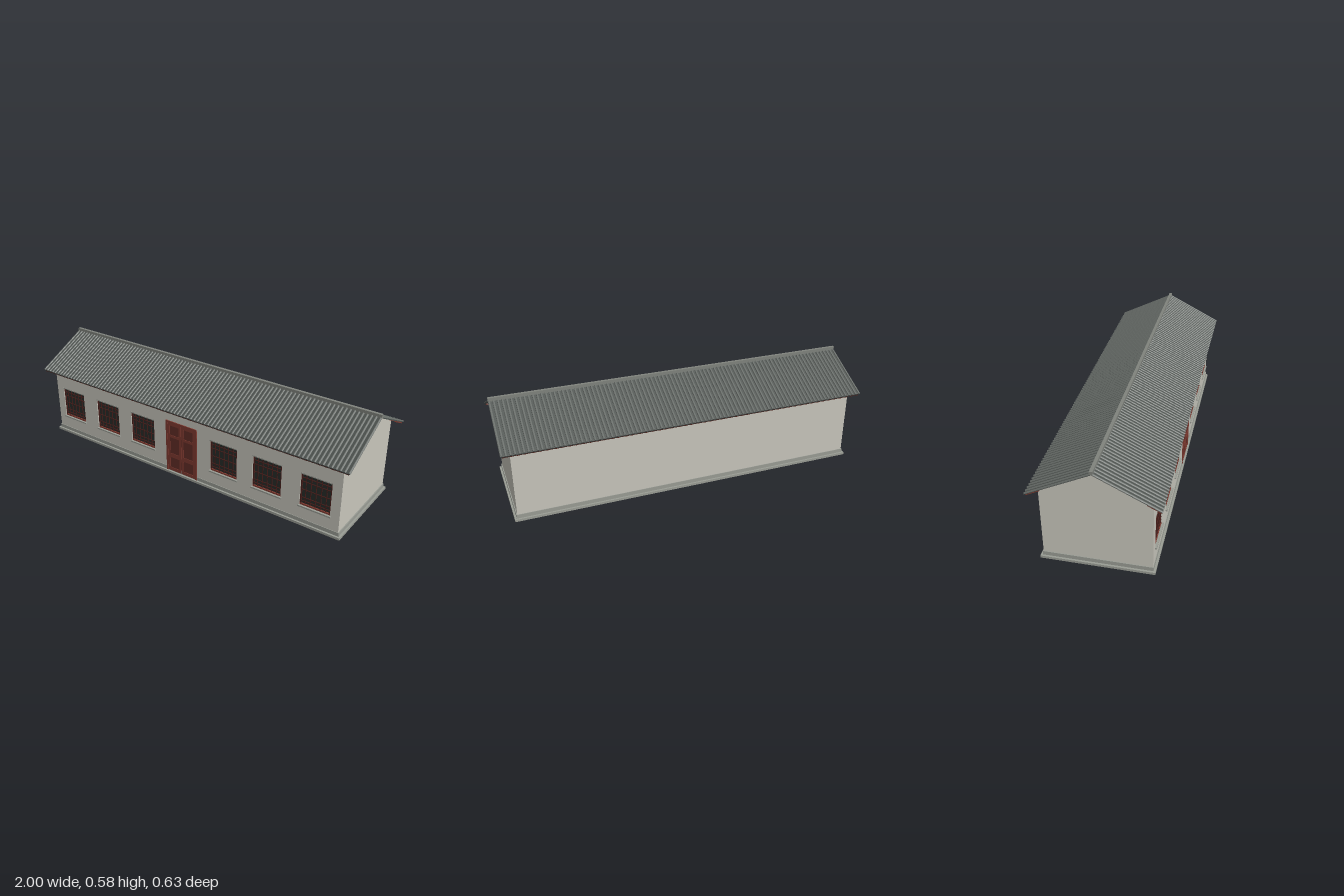
import * as THREE from 'three';

const mat = (color) => new THREE.MeshStandardMaterial({ color, flatShading: true });

export function createModel() {
  const house = new THREE.Group();
  const wall = mat(0xc8c6bc), stone = mat(0x9a9d95), red = mat(0x7f3a30), darkRed = mat(0x622c26);
  const grille = mat(0x4a201c), glass = mat(0x262b28), tile = mat(0x4a4f4c), rib = mat(0x686d69), ridge = mat(0x80837d);

  const box = (parent, name, m, w, h, d, x, y, z) => {
    const mesh = new THREE.Mesh(new THREE.BoxGeometry(w, h, d), m);
    mesh.name = name;
    mesh.position.set(x, y, z);
    parent.add(mesh);
    return mesh;
  };
  const rectPath = (P, x0, y0, x1, y1) => {
    const p = new P();
    p.moveTo(x0, y0); p.lineTo(x1, y0); p.lineTo(x1, y1); p.lineTo(x0, y1); p.closePath();
    return p;
  };

  // Stepped plinth
  box(house, 'plinthBase', stone, 1.93, 0.013, 0.556, 0, 0.0065, 0);
  box(house, 'plinthStep', stone, 1.91, 0.021, 0.536, 0, 0.0235, 0);

  // Gabled body, its front face set back behind the pierced front wall
  const zf = 0.25, zw = 0.265, apex = 0.556, roofY = (z) => apex - 0.5 * Math.abs(z);
  const gable = new THREE.Shape([
    [-zf, 0.03], [zw, 0.03], [zw, roofY(zw)], [0, apex], [-zf, roofY(zf)],
  ].map(([x, y]) => new THREE.Vector2(x, y)));
  const bodyGeo = new THREE.ExtrudeGeometry(gable, { depth: 1.9, bevelEnabled: false });
  bodyGeo.translate(0, 0, -0.95).rotateY(Math.PI / 2);
  const body = new THREE.Mesh(bodyGeo, wall);
  body.name = 'gabledWalls';
  house.add(body);

  // Front wall with window openings
  const windowXs = [-0.815, -0.54, -0.275, 0.275, 0.54, 0.815];
  const hw = 0.084, y0 = 0.108, y1 = 0.292;
  const front = rectPath(THREE.Shape, -0.95, 0.03, 0.95, roofY(zw));
  windowXs.forEach((x) => front.holes.push(rectPath(THREE.Path, x - hw, y0, x + hw, y1)));
  const frontWall = new THREE.Mesh(
    new THREE.ExtrudeGeometry(front, { depth: zw - zf, bevelEnabled: false }), wall);
  frontWall.name = 'frontWall';
  frontWall.position.z = zf;
  house.add(frontWall);

  // Barred windows
  windowXs.forEach((x) => {
    const win = new THREE.Group();
    win.name = 'window';
    win.position.x = x;
    const ym = (y0 + y1) / 2, h = y1 - y0;
    box(win, 'glass', glass, 2 * hw, h, 0.004, 0, ym, zf + 0.002);
    for (const s of [-1, 1]) box(win, 'frameSide', grille, 0.007, h, 0.008, s * (hw - 0.0035), ym, zf + 0.006);
    box(win, 'frameTop', grille, 2 * hw, 0.007, 0.008, 0, y1 - 0.0035, zf + 0.006);
    box(win, 'frameBottom', red, 2 * hw, 0.008, 0.01, 0, y0 + 0.007, zf + 0.007);
    for (let i = 1; i < 6; i++)
      box(win, 'verticalBar', grille, 0.0035, h, 0.004, -hw + (2 * hw * i) / 6, ym, zf + 0.008);
    for (const y of [0.135, 0.155, 0.2, 0.245, 0.268])
      box(win, 'horizontalBar', grille, 2 * hw, 0.0035, 0.004, 0, y, zf + 0.009);
    box(win, 'lintel', stone, 2 * hw + 0.004, 0.006, 0.006, 0, y1, zw - 0.002);
    box(win, 'sill', stone, 2 * hw + 0.012, 0.008, 0.014, 0, 0.107, 0.2665);
    house.add(win);
  });

  // Double door with framed panels
  const door = new THREE.Group();
  door.name = 'doubleDoor';
  for (const s of [-1, 1]) {
    box(door, 'jamb', red, 0.012, 0.312, 0.012, s * 0.098, 0.169, 0.264);
    const leaf = rectPath(THREE.Shape, -0.045, 0.016, 0.045, 0.315);
    for (const [a, b] of [[0.035, 0.1], [0.125, 0.225], [0.24, 0.298]])
      leaf.holes.push(rectPath(THREE.Path, -0.031, a, 0.031, b));
    const mesh = new THREE.Mesh(new THREE.ExtrudeGeometry(leaf, { depth: 0.004, bevelEnabled: false }), red);
    mesh.name = 'doorLeaf';
    mesh.position.set(s * 0.0465, 0, 0.2648);
    door.add(mesh);
  }
  box(door, 'doorHead', red, 0.208, 0.012, 0.012, 0, 0.319, 0.264);
  box(door, 'doorPanels', darkRed, 0.186, 0.3, 0.008, 0, 0.165, 0.2625);
  house.add(door);

  // Two roof slopes: x along the ridge, local z down the slope
  const slopeLength = 0.31 * Math.sqrt(1.25), angle = Math.atan(0.5), ribs = 92, tails = 56;
  const ribGeo = new THREE.CylinderGeometry(0.006, 0.006, slopeLength, 6, 1, false, -Math.PI / 2, Math.PI);
  ribGeo.rotateX(-Math.PI / 2);
  ribGeo.rotateZ(Math.PI);
  // Keep the rounded side up
  ribGeo.computeBoundingBox();
  if (ribGeo.boundingBox.max.y < 0.003) ribGeo.rotateZ(Math.PI);
  for (const s of [1, -1]) {
    const side = new THREE.Group();
    side.name = s > 0 ? 'frontRoof' : 'backRoof';
    side.rotation.y = s > 0 ? 0 : Math.PI;
    const slope = new THREE.Group();
    slope.name = 'roofSlope';
    slope.position.y = apex;
    slope.rotation.x = angle;
    side.add(slope);
    box(slope, 'tileBed', tile, 1.99, 0.006, slopeLength, 0, 0.003, slopeLength / 2);
    for (let i = 0; i < ribs; i++) {
      const r = new THREE.Mesh(ribGeo, rib);
      r.name = 'tileRib';
      r.position.set(-0.994 + (1.988 * i) / (ribs - 1), 0.0055, slopeLength / 2);
      slope.add(r);
    }
    // Rafter tails under the eave
    for (let i = 0; i < tails; i++)
      box(slope, 'rafterTail', red, 0.012, 0.006, 0.073, -0.985 + (1.97 * i) / (tails - 1), -0.0035, slopeLength - 0.037);
    box(slope, 'eaveBoard', darkRed, 1.98, 0.005, 0.006, 0, -0.0015, slopeLength - 0.003);
    house.add(side);
  }
  box(house, 'ridgeCap', ridge, 2, 0.018, 0.016, 0, 0.569, 0);

  return house;
}
